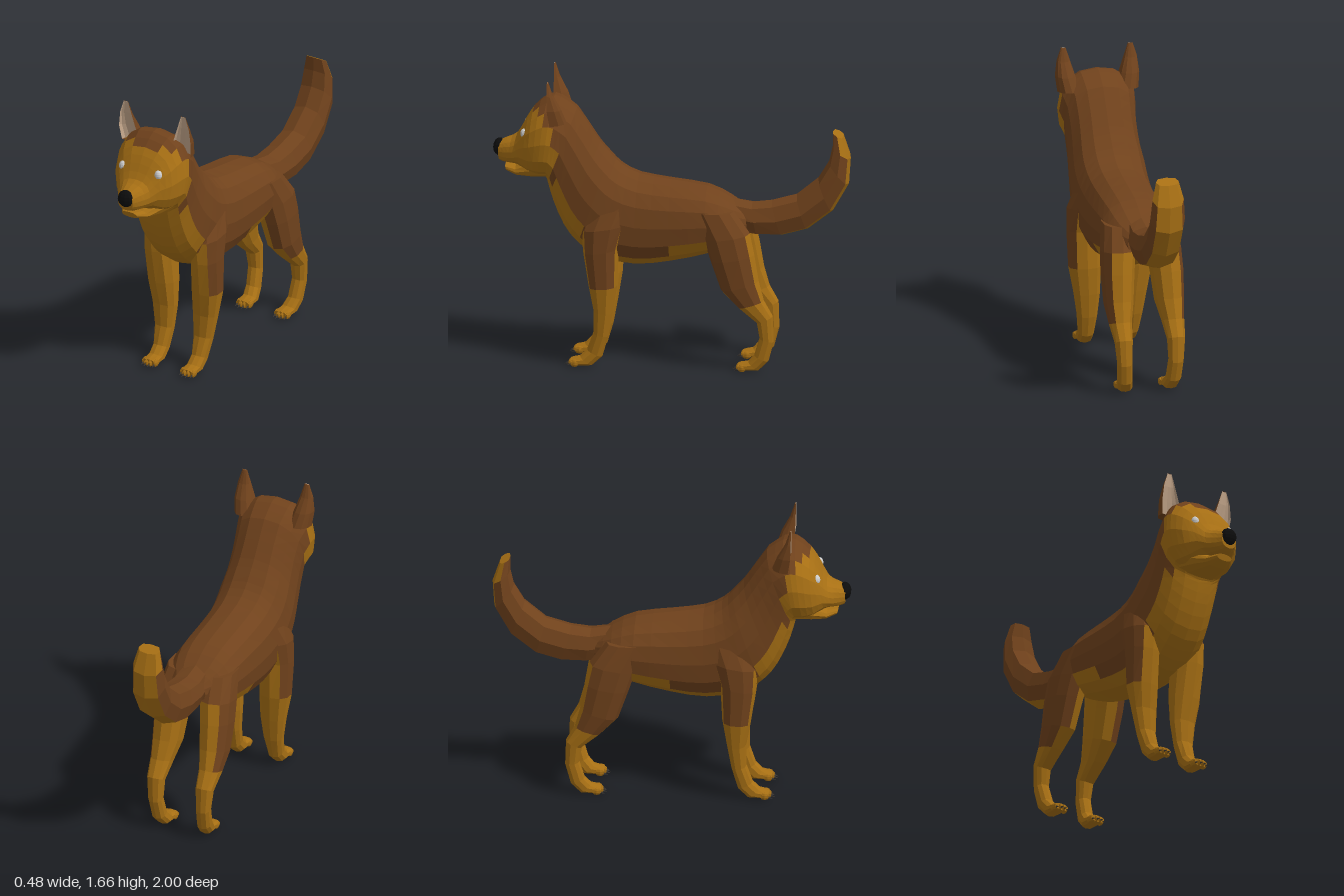
import * as THREE from 'three';

const mat = (color) => new THREE.MeshStandardMaterial({ color, flatShading: true, side: THREE.DoubleSide });
const BROWN = mat(0x70421c), TAN = mat(0xa87014), EAR = mat(0xc8aa8e);
const BLACK = mat(0x0c0c0c), GREY = mat(0xcccccc), CLAW = mat(0x3a3632);

// Lofts rings given as [z1, y1, z2, y2, halfWidth, centreX]: two opposite points in the side plane
// and a width. Faces are shared out between two materials by the rule isSecond(centre, normal).
function loft(name, sections, isSecond, { sides = 10, sub = 1, square = 0.85, mirror = 1, dent = false, second = TAN } = {}) {
  const curve = (f) => new THREE.CatmullRomCurve3(sections.map(f), false, 'catmullrom', 0.5);
  const a = curve((s) => new THREE.Vector3(0, s[1], s[0]));
  const b = curve((s) => new THREE.Vector3(0, s[3], s[2]));
  const w = curve((s) => new THREE.Vector3(s[4], s[5] || 0, 0));
  const pw = (v) => Math.sign(v) * Math.abs(v) ** square;
  const rows = (sections.length - 1) * sub;
  const rings = [], mids = [];
  for (let i = 0; i <= rows; i++) {
    const t = i / rows, A = a.getPoint(t), B = b.getPoint(t), W = w.getPoint(t);
    const mid = A.clone().add(B).multiplyScalar(0.5), half = A.clone().sub(mid);
    mid.x = W.y * mirror;
    mids.push(mid);
    rings.push(Array.from({ length: sides }, (_, j) => {
      const q = (j / sides) * Math.PI * 2;
      let c = pw(Math.cos(q));
      if (dent && c > 0) c *= -0.45;
      const p = mid.clone().addScaledVector(half, c);
      p.x += mirror * W.x * pw(Math.sin(q));
      return p;
    }));
  }
  const quads = [];
  for (let j = 0; j < sides; j++) {
    const k = (j + 1) % sides;
    for (let i = 0; i < rows; i++) quads.push([rings[i][j], rings[i][k], rings[i + 1][k], rings[i + 1][j]]);
    quads.push([mids[0], rings[0][k], rings[0][j]], [mids[rows], rings[rows][j], rings[rows][k]]);
  }
  // turn all faces outward
  let volume = 0;
  const cross = new THREE.Vector3();
  const tris = (q) => (q.length === 4 ? [[q[0], q[1], q[2]], [q[0], q[2], q[3]]] : [q]);
  quads.forEach((q) => tris(q).forEach((t) => { volume += t[0].dot(cross.crossVectors(t[1], t[2])); }));
  const lists = [[], []];
  for (const q of quads) {
    if (volume < 0) q.reverse();
    const centre = q.reduce((s, p) => s.add(p), new THREE.Vector3()).divideScalar(q.length);
    const e = q.length - 1;
    const n = new THREE.Vector3().crossVectors(q[2].clone().sub(q[0]), q[e].clone().sub(q[1])).normalize();
    if (q.length === 3) n.crossVectors(q[1].clone().sub(q[0]), q[2].clone().sub(q[0])).normalize();
    centre.x *= mirror;
    n.x *= mirror;
    const list = lists[isSecond(centre, n) ? 1 : 0];
    tris(q).forEach((t) => t.forEach((p) => list.push(p.x, p.y, p.z)));
  }
  const group = new THREE.Group();
  group.name = name;
  lists.forEach((list, i) => {
    if (!list.length) return;
    const g = new THREE.BufferGeometry();
    g.setAttribute('position', new THREE.Float32BufferAttribute(list, 3));
    g.computeVertexNormals();
    const m = new THREE.Mesh(g, i ? second : BROWN);
    m.name = name + (i ? 'Light' : 'Dark');
    group.add(m);
  });
  return group;
}

function blob(name, material, pos, scale, detail = [10, 8]) {
  const m = new THREE.Mesh(new THREE.SphereGeometry(1, ...detail), material);
  m.name = name;
  m.position.set(...pos);
  m.scale.set(...scale);
  return m;
}

// Four toes with claws in front of a foot
function paw(name, x, z) {
  const g = new THREE.Group();
  g.name = name;
  for (let i = 0; i < 4; i++) {
    const out = Math.abs(i - 1.5), dx = x + (i - 1.5) * 0.024, tz = z - out * 0.012;
    g.add(blob('toe', TAN, [dx, 0.024, tz], [0.013, 0.022, 0.028], [6, 5]));
    const claw = new THREE.Mesh(new THREE.ConeGeometry(0.007, 0.03, 5), CLAW);
    claw.name = 'claw';
    claw.rotation.x = Math.PI / 2 + 0.3;
    claw.position.set(dx, 0.015, tz + 0.032);
    g.add(claw);
  }
  return g;
}

export function createModel() {
  const dog = new THREE.Group();
  dog.name = 'dog';

  // Trunk and neck: back line, belly line, half width
  dog.add(loft('body', [
    [-0.42, 0.91, -0.43, 0.77, 0.1], [-0.33, 0.97, -0.33, 0.71, 0.17],
    [-0.2, 1.03, -0.22, 0.655, 0.2], [0, 1.06, 0, 0.6, 0.207],
    [0.18, 1.09, 0.2, 0.575, 0.21], [0.28, 1.14, 0.4, 0.61, 0.215],
    [0.34, 1.2, 0.52, 0.69, 0.215], [0.4, 1.27, 0.6, 0.79, 0.205],
    [0.46, 1.36, 0.66, 0.93, 0.2], [0.53, 1.46, 0.69, 1.04, 0.205],
  ], (c, n) => n.y < -0.5 && c.y < 0.75 || n.z > 0.4 && c.y < 1.06, { sides: 16, sub: 2 }));

  // Head, upper muzzle and lower jaw
  const face = (c) => c.y < 1.455 && c.z > 0.61 + Math.max(0, c.y - 1.28) * 0.75;
  dog.add(loft('head', [
    [0.53, 1.46, 0.69, 1.04, 0.205], [0.62, 1.52, 0.7, 1.07, 0.22],
    [0.69, 1.525, 0.74, 1.07, 0.217], [0.77, 1.46, 0.8, 1.09, 0.19],
    [0.82, 1.38, 0.855, 1.13, 0.145], [0.865, 1.3, 0.9, 1.137, 0.105],
    [0.92, 1.275, 0.94, 1.14, 0.073], [0.97, 1.255, 0.965, 1.15, 0.05],
  ], face, { sides: 16, sub: 2 }));
  dog.add(loft('jaw', [
    [0.7, 1.2, 0.68, 1.07, 0.15], [0.8, 1.17, 0.78, 1.066, 0.125],
    [0.87, 1.125, 0.86, 1.07, 0.09], [0.93, 1.125, 0.92, 1.09, 0.05],
  ], () => true, { sides: 12 }));
  dog.add(blob('nose', BLACK, [0, 1.22, 0.963], [0.049, 0.05, 0.037]));

  // Tail, light underneath and at the tip
  dog.add(loft('tail', [
    [-0.3, 0.97, -0.38, 0.77, 0.09], [-0.45, 0.945, -0.48, 0.76, 0.1],
    [-0.56, 0.96, -0.62, 0.76, 0.1], [-0.7, 1.0, -0.76, 0.8, 0.1],
    [-0.82, 1.1, -0.9, 0.91, 0.1], [-0.88, 1.2, -0.99, 1.07, 0.1],
    [-0.9, 1.29, -1.0, 1.22, 0.09], [-0.9, 1.37, -0.96, 1.34, 0.065],
  ], (c, n) => Math.abs(n.x) < 0.8 && (n.y < -0.25 || n.z < -0.5) || (c.y > 1.34 && n.y > 0.3), { sides: 8, square: 0.75 }));

  for (const s of [1, -1]) {
    const side = s > 0 ? 'left' : 'right';

    // Front leg: front edge, back edge, half width, centre x
    dog.add(loft(side + 'FrontLeg', [
      [0.42, 0.98, 0.2, 0.95, 0.07, 0.13], [0.49, 0.8, 0.24, 0.84, 0.093, 0.15],
      [0.48, 0.67, 0.28, 0.7, 0.088, 0.155], [0.45, 0.47, 0.29, 0.48, 0.09, 0.147],
      [0.425, 0.33, 0.315, 0.32, 0.075, 0.135], [0.425, 0.2, 0.34, 0.18, 0.058, 0.13],
      [0.46, 0.1, 0.375, 0.06, 0.045, 0.128], [0.5, 0.06, 0.43, 0.008, 0.045, 0.127],
      [0.55, 0.045, 0.545, 0.005, 0.046, 0.127],
    ], (c, n) => c.y < 0.47 || (c.y < 0.8 && n.x < 0.35), { mirror: s }));
    dog.add(paw(side + 'FrontPaw', s * 0.127, 0.545));

    // Hind leg with thigh, hock and foot
    dog.add(loft(side + 'HindLeg', [
      [-0.12, 0.92, -0.36, 0.92, 0.09, 0.11], [-0.19, 0.76, -0.45, 0.8, 0.095, 0.13],
      [-0.23, 0.64, -0.475, 0.68, 0.09, 0.14], [-0.29, 0.47, -0.5, 0.53, 0.08, 0.145],
      [-0.385, 0.375, -0.53, 0.42, 0.062, 0.15], [-0.49, 0.29, -0.58, 0.33, 0.05, 0.15],
      [-0.505, 0.2, -0.585, 0.18, 0.042, 0.147], [-0.475, 0.1, -0.555, 0.065, 0.042, 0.14],
      [-0.44, 0.06, -0.5, 0.008, 0.045, 0.13], [-0.385, 0.045, -0.385, 0.005, 0.046, 0.127],
    ], (c, n) => c.y < 0.43 || (c.y < 0.84 && (n.x < -0.2 || n.z < -0.6)), { mirror: s }));
    dog.add(paw(side + 'HindPaw', s * 0.127, -0.39));

    // Hollow ear, pale inside
    dog.add(loft(side + 'Ear', [
      [0.75, 1.4, 0.57, 1.42, 0.065, 0.165], [0.75, 1.5, 0.6, 1.5, 0.057, 0.183],
      [0.71, 1.59, 0.645, 1.58, 0.038, 0.192], [0.685, 1.66, 0.67, 1.655, 0.014, 0.192],
    ], (c, n) => n.z > 0.15, { mirror: s, dent: true, sides: 12, second: EAR }));

    dog.add(blob(side + 'Eye', GREY, [s * 0.118, 1.335, 0.813], [0.025, 0.029, 0.022], [12, 8]));
  }
  return dog;
}
